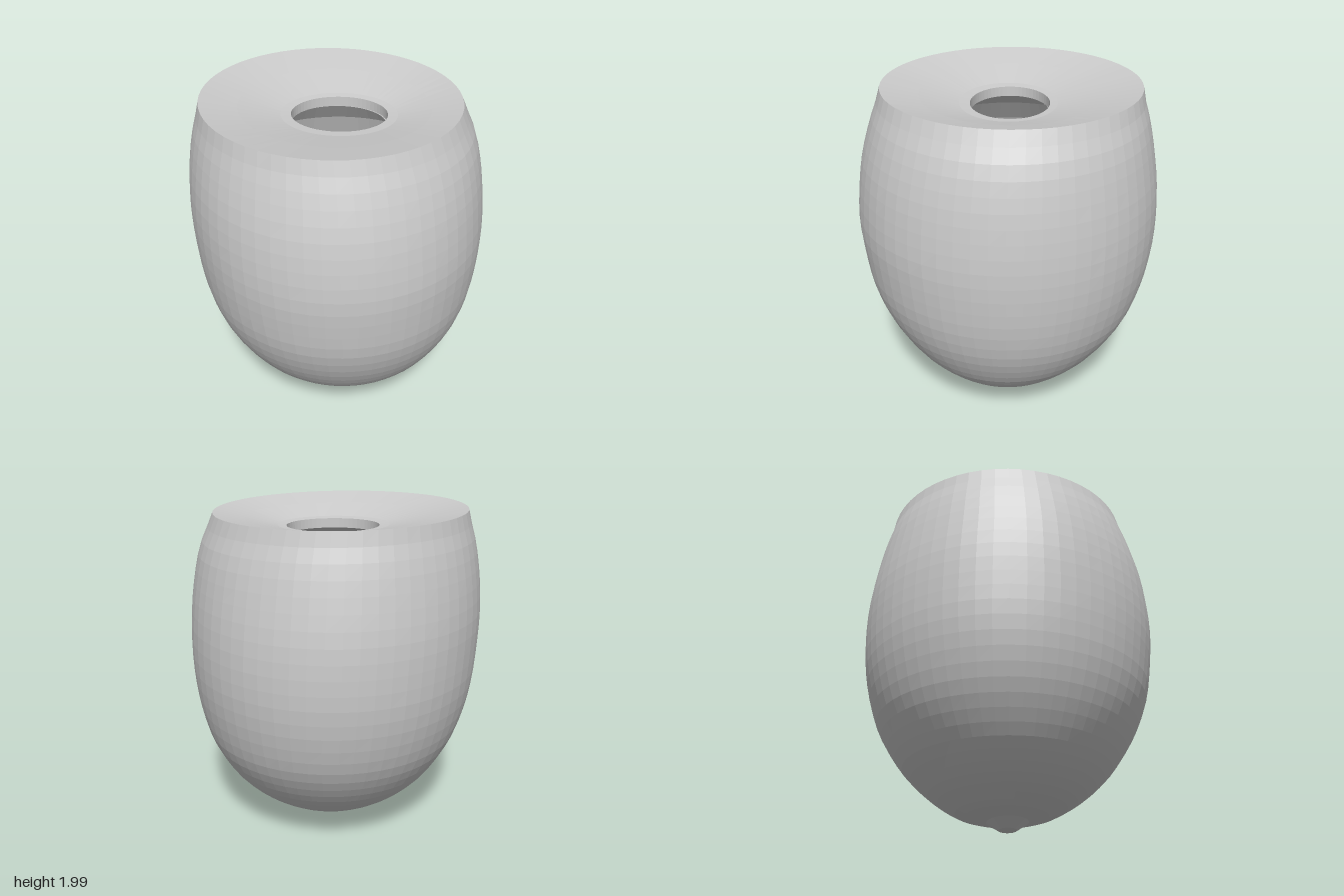
import * as THREE from 'three';

const SIDES = 60;

// Joins elliptical rings [y, centreX, radiusX, centreZ, radiusZ, tilt] (bottom to top = facing outwards)
function loft(rings) {
  const pos = [], index = [];
  for (const [y, cx, rx, cz, rz, tilt] of rings) {
    for (let j = 0; j < SIDES; j++) {
      const a = (j / SIDES) * Math.PI * 2;
      const x = cx + rx * Math.sin(a);
      pos.push(x, y + tilt * x, cz + rz * Math.cos(a));
    }
  }
  for (let i = 0; i < rings.length - 1; i++) {
    for (let j = 0; j < SIDES; j++) {
      const k = (j + 1) % SIDES;
      const a = i * SIDES + j, b = i * SIDES + k, c = a + SIDES, d = b + SIDES;
      index.push(a, b, d, a, d, c);
    }
  }
  const geometry = new THREE.BufferGeometry();
  geometry.setAttribute('position', new THREE.Float32BufferAttribute(pos, 3));
  geometry.setIndex(index);
  geometry.computeVertexNormals();
  return geometry;
}

export function createModel() {
  const group = new THREE.Group();
  const material = new THREE.MeshStandardMaterial({
    color: 0xcccccc, flatShading: true, side: THREE.DoubleSide,
  });
  const add = (name, rings) => {
    const mesh = new THREE.Mesh(loft(rings), material);
    mesh.name = name;
    group.add(mesh);
  };

  // Body profile: y, centre x, radius x, centre z, radius z
  const body = [
    [0.075, 0.01, 0.20, -0.005, 0.19],
    [0.11, 0.03, 0.32, -0.005, 0.30],
    [0.20, 0.033, 0.478, 0, 0.45],
    [0.30, 0.028, 0.588, 0, 0.57],
    [0.40, 0.024, 0.668, -0.002, 0.66],
    [0.60, 0.016, 0.775, -0.004, 0.785],
    [0.80, 0.008, 0.835, 0, 0.858],
    [1.00, 0.002, 0.866, -0.002, 0.894],
    [1.20, -0.002, 0.878, 0.001, 0.909],
    [1.40, -0.010, 0.875, -0.001, 0.899],
    [1.60, -0.016, 0.855, -0.003, 0.868],
    [1.80, -0.023, 0.815, -0.012, 0.818],
    [1.93, -0.034, 0.768, -0.017, 0.775],
    [1.99, -0.040, 0.748, -0.020, 0.761],
  ];
  // Smooth the profile into even rows
  const radii = new THREE.CatmullRomCurve3(body.map((p) => new THREE.Vector3(p[2], p[0], p[4])));
  const centres = new THREE.CatmullRomCurve3(body.map((p) => new THREE.Vector3(p[1], p[0], p[3])));
  const ROWS = 28;
  // Small blunt nub under the shell
  const shell = [
    [0.014, 0, 0.001, -0.005, 0.001, -0.06],
    [0.009, -0.003, 0.055, -0.005, 0.055, -0.06],
    [0.056, -0.003, 0.135, -0.006, 0.125, -0.05],
  ];
  for (let i = 0; i <= ROWS; i++) {
    const t = radii.getUtoTmapping(i / ROWS);
    const r = radii.getPoint(t), c = centres.getPoint(t);
    const tilt = -0.0135 * THREE.MathUtils.smoothstep(r.y, 1.2, 1.95);
    shell.push([r.y, c.x, r.x, c.z, r.z, tilt]);
  }
  add('shell', shell);

  // Shallow funnel lid with an oval hole and its short wall
  const tilt = -0.0135;
  add('lid', [
    [1.99, -0.040, 0.748, -0.020, 0.761, tilt],
    [1.945, -0.02, 0.55, -0.012, 0.53, tilt],
    [1.893, 0.005, 0.335, -0.003, 0.287, tilt],
    [1.888, 0.007, 0.278, -0.012, 0.233, tilt],
  ]);
  add('holeWall', [
    [1.888, 0.007, 0.278, -0.012, 0.233, tilt],
    [1.83, 0.007, 0.278, -0.012, 0.233, tilt],
  ]);

  // Domed hollow below the hole, with a low dimpled bump on its floor: y, radius
  const hollow = [
    [1.83, 0.278], [1.78, 0.46], [1.68, 0.60], [1.54, 0.70], [1.36, 0.765], [1.16, 0.79],
    [0.96, 0.78], [0.76, 0.735], [0.58, 0.655], [0.42, 0.54], [0.30, 0.41], [0.23, 0.28],
    [0.205, 0.19], [0.20, 0.11], [0.235, 0.05], [0.215, 0.001],
  ];
  add('hollow', hollow.map(([y, r], i) =>
    [y, 0, r, -0.008, i === 0 ? 0.233 : r, i === 0 ? tilt : 0]));
  return group;
}
